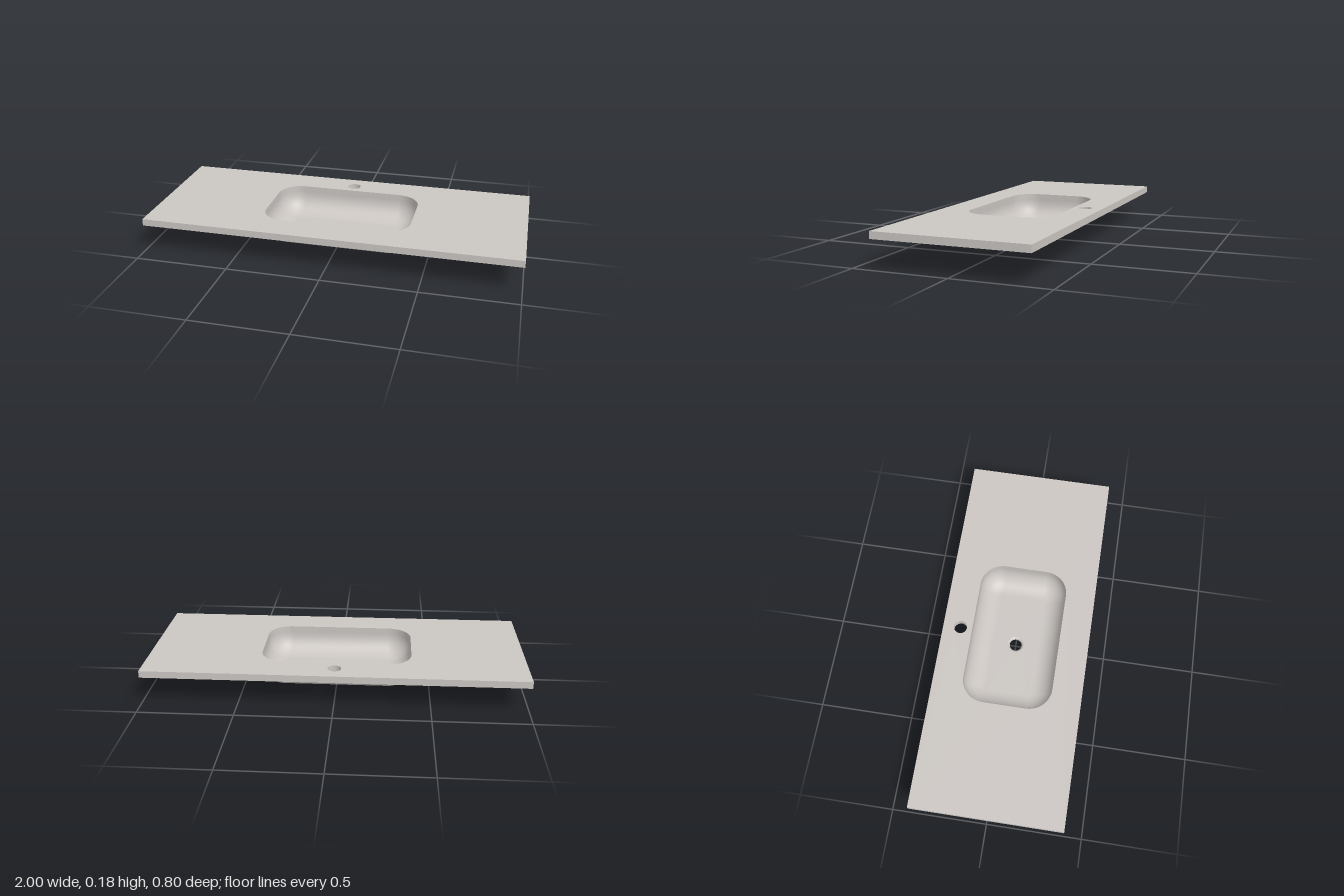
import * as THREE from 'three';
import { toCreasedNormals } from 'three/addons/utils/BufferGeometryUtils.js';

const SLAB_BOTTOM = 0.147, SLAB_TOP = 0.184;
const CORNER_X = 0.275, CORNER_Z = 0.115; // shared centres of the bowl's corner arcs
const CORNER_STEPS = 16, FILLET_STEPS = 14;

// Rounded rectangle around the fixed corner centres
function roundedLoop(radius) {
  const points = [];
  for (let q = 0; q < 4; q++) {
    const sx = q === 0 || q === 3 ? 1 : -1, sy = q < 2 ? 1 : -1;
    for (let i = 0; i <= CORNER_STEPS; i++) {
      const a = (q + i / CORNER_STEPS) * Math.PI / 2;
      points.push(new THREE.Vector2(sx * CORNER_X + radius * Math.cos(a), sy * CORNER_Z + radius * Math.sin(a)));
    }
  }
  return points;
}

function circleHole(x, y, radius) {
  return new THREE.Path().absarc(x, y, radius, 0, Math.PI * 2, true);
}

// Bowl wall: straight at the top, then a quarter-round fillet into the floor
function wallGeometry(radius, fillet, floorY, inward) {
  const rings = [[radius, SLAB_BOTTOM]];
  for (let i = 0; i <= FILLET_STEPS; i++) {
    const a = i / FILLET_STEPS * Math.PI / 2;
    rings.push([radius - fillet * (1 - Math.cos(a)), floorY + fillet * (1 - Math.sin(a))]);
  }
  const positions = [], index = [];
  const n = 4 * (CORNER_STEPS + 1);
  rings.forEach(([r, y], k) => {
    for (const p of roundedLoop(r)) positions.push(p.x, y, p.y);
    if (k === 0) return;
    for (let j = 0; j < n; j++) {
      const a = (k - 1) * n + j, b = (k - 1) * n + (j + 1) % n;
      const c = a + n, d = b + n;
      if (inward) index.push(a, c, b, b, c, d);
      else index.push(a, b, c, b, d, c);
    }
  });
  const geometry = new THREE.BufferGeometry();
  geometry.setAttribute('position', new THREE.Float32BufferAttribute(positions, 3));
  geometry.setIndex(index);
  geometry.computeVertexNormals();
  return geometry;
}

// Flat bowl floor with the drain opening
function floorGeometry(radius, y, hole, inward) {
  const shape = new THREE.Shape(roundedLoop(radius));
  shape.holes.push(circleHole(0, 0, hole));
  return new THREE.ShapeGeometry(shape, 32)
    .rotateX(inward ? -Math.PI / 2 : Math.PI / 2)
    .translate(0, y, 0);
}

export function createModel() {
  const model = new THREE.Group();
  model.name = 'washbasin';
  const ceramic = new THREE.MeshStandardMaterial({ color: 0xcbc6c2 });
  ceramic.name = 'warm grey ceramic';

  function add(name, geometry, parent = model) {
    const mesh = new THREE.Mesh(geometry, ceramic);
    mesh.name = name;
    parent.add(mesh);
  }

  // Countertop with bowl opening and tap hole
  const top = new THREE.Shape();
  top.moveTo(-1, -0.4).lineTo(1, -0.4).lineTo(1, 0.4).lineTo(-1, 0.4).closePath();
  top.holes.push(new THREE.Path(roundedLoop(0.125)), circleHole(0, 0.305, 0.035));
  const slab = new THREE.ExtrudeGeometry(top, {
    depth: SLAB_TOP - SLAB_BOTTOM, bevelEnabled: false, curveSegments: 32,
  });
  slab.rotateX(-Math.PI / 2).translate(0, SLAB_BOTTOM, 0);
  add('countertop', toCreasedNormals(slab, 0.5));

  // Bowl: inner and outer shells
  const bowl = new THREE.Group();
  bowl.name = 'bowl';
  model.add(bowl);
  add('innerWall', wallGeometry(0.125, 0.11, 0.035, true), bowl);
  add('innerFloor', floorGeometry(0.015, 0.035, 0.045, true), bowl);
  add('outerWall', wallGeometry(0.141, 0.125, 0.018, false), bowl);
  add('outerFloor', floorGeometry(0.016, 0.018, 0.06, false), bowl);

  // Drain collar with a rounded lip and a stepped bore
  const profile = [
    [0.045, 0], [0.06, 0], [0.06, 0.018], [0.045, 0.035], [0.04, 0.033], [0.035, 0.028],
    [0.033, 0.023], [0.033, 0.02], [0.045, 0.02], [0.045, 0],
  ].map(([r, y]) => new THREE.Vector2(r, y));
  add('drain', toCreasedNormals(new THREE.LatheGeometry(profile, 48), 0.6));

  return model;
}
